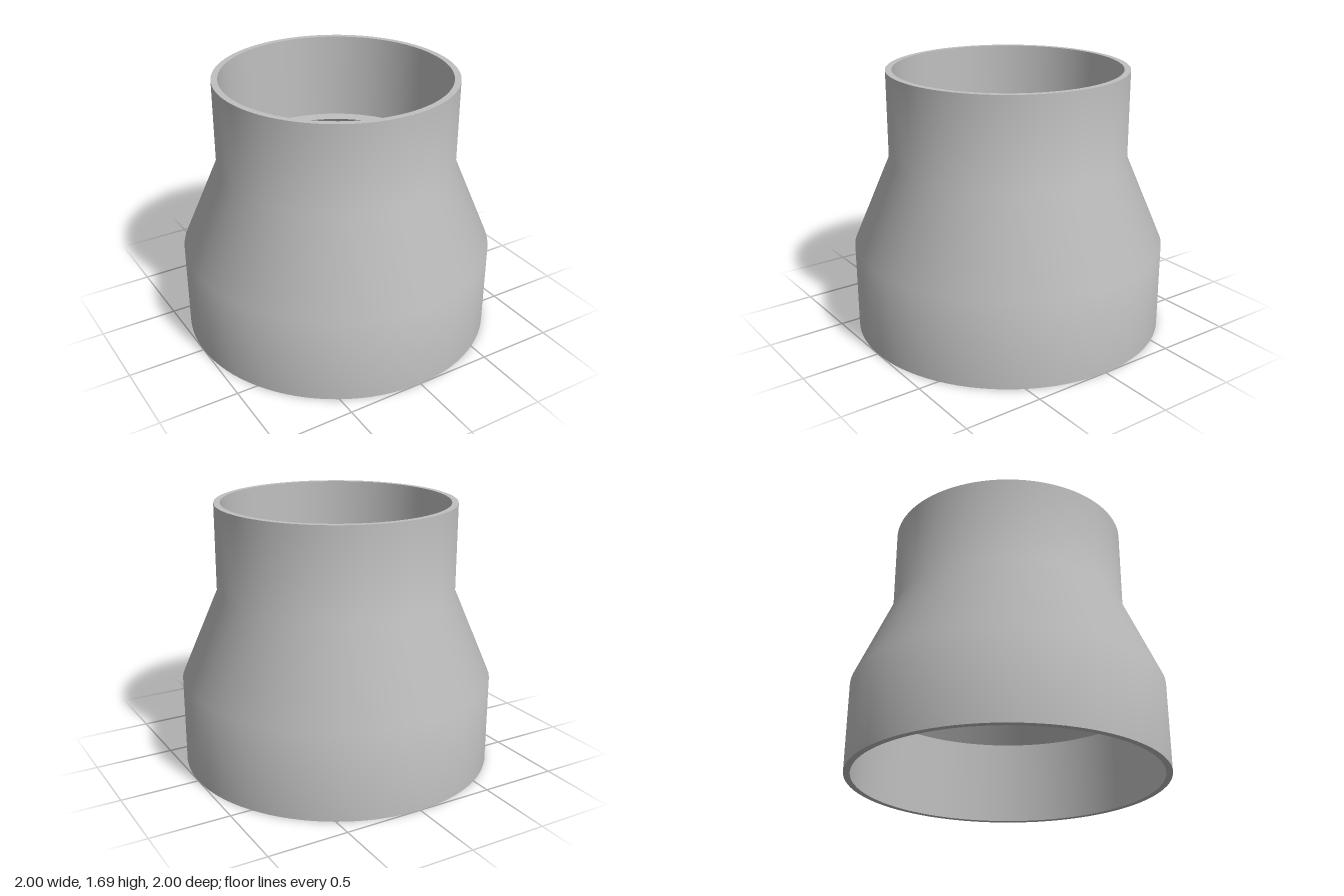
import * as THREE from 'three';

const SEGMENTS = 96;

export function createModel() {
  const group = new THREE.Group();
  group.name = 'pipeReducer';

  const grey = new THREE.MeshStandardMaterial({ color: 0xc0c0c0 });
  grey.name = 'grey';

  // Each section is revolved on its own so the edges between sections stay sharp.
  // Profiles run up the outside, inward over the top, down the bore and out below.
  const revolve = (name, profile) => {
    const points = profile.map(([r, y]) => new THREE.Vector2(r, y));
    const mesh = new THREE.Mesh(new THREE.LatheGeometry(points, SEGMENTS), grey);
    mesh.name = name;
    group.add(mesh);
  };

  // Outer skin: wide socket, taper and narrow socket, softly shaded across the bends
  revolve('outerWall', [[1, 0], [1, 0.565], [0.76, 1.125], [0.76, 1.69]]);
  revolve('topRim', [[0.76, 1.69], [0.72, 1.69]]);

  // Bore: narrow socket, stop ledge, taper and wide socket
  revolve('narrowSocket', [[0.72, 1.69], [0.72, 1.125]]);
  revolve('stopLedge', [[0.72, 1.125], [0.625, 1.125]]);
  revolve('innerTaper', [[0.625, 1.125], [0.96, 0.565]]);
  revolve('wideSocket', [[0.96, 0.565], [0.96, 0]]);
  revolve('bottomRim', [[0.96, 0], [1, 0]]);

  return group;
}
